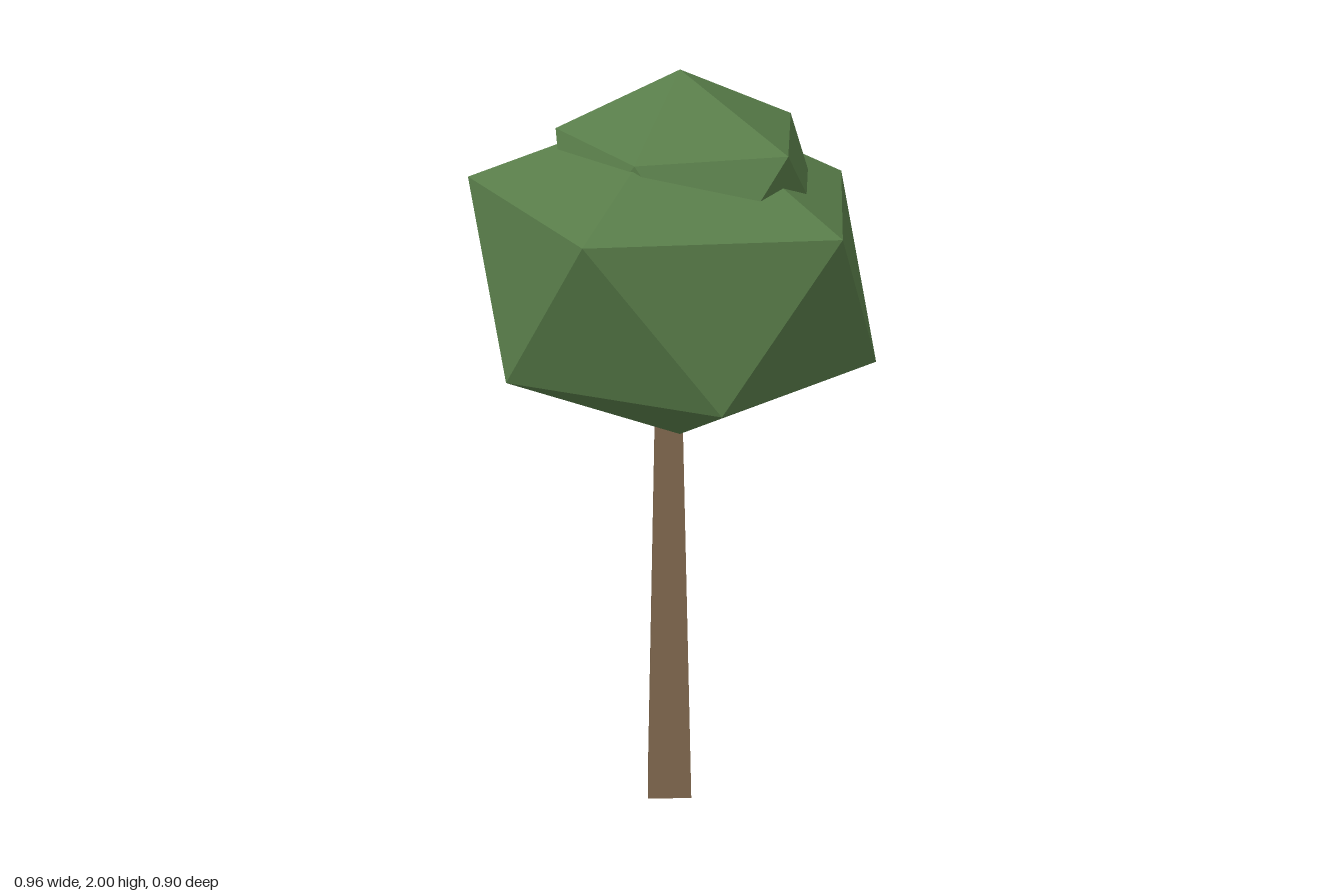
import * as THREE from 'three';

// Faceted twenty-sided blob: top point, two staggered rings of five, bottom point
function blob(name, top, upper, lower, bottom, material) {
  const p = [];
  for (let i = 0; i < 5; i++) {
    const j = (i + 1) % 5;
    p.push(...top, ...upper[j], ...upper[i]);
    p.push(...upper[i], ...upper[j], ...lower[i]);
    p.push(...lower[i], ...upper[j], ...lower[j]);
    p.push(...bottom, ...lower[i], ...lower[j]);
  }
  const geometry = new THREE.BufferGeometry();
  geometry.setAttribute('position', new THREE.Float32BufferAttribute(p, 3));
  geometry.computeVertexNormals();
  const mesh = new THREE.Mesh(geometry, material);
  mesh.name = name;
  return mesh;
}

export function createModel() {
  const leaf = new THREE.MeshStandardMaterial({ color: 0x587c49 });
  leaf.name = 'leaf green';
  const bark = new THREE.MeshStandardMaterial({ color: 0x80684e });
  bark.name = 'bark brown';
  leaf.flatShading = bark.flatShading = true;

  const tree = new THREE.Group();
  tree.name = 'tree';

  // Tapered square trunk, corners on the axes, slightly off centre
  const trunk = new THREE.Mesh(new THREE.CylinderGeometry(0.048, 0.082, 1.12, 4), bark);
  trunk.name = 'trunk';
  trunk.position.set(-0.09, 0.56, -0.063);
  tree.add(trunk);

  // Large main crown
  tree.add(blob('mainCrown', [-0.02, 1.93, -0.03],
    [[-0.445, 1.71, -0.325], [0.125, 1.695, -0.45], [0.48, 1.705, -0.03], [0.145, 1.725, 0.45], [-0.445, 1.717, 0.26]],
    [[-0.16, 1.32, -0.44], [0.375, 1.305, -0.3], [0.35, 1.315, 0.22], [-0.17, 1.305, 0.405], [-0.48, 1.315, -0.03]],
    [-0.02, 1.08, -0.03], leaf));

  // Small cap of leaves sunk into the top
  tree.add(blob('topCrown', [-0.02, 2, -0.03],
    [[-0.293, 1.862, -0.215], [0.08, 1.86, -0.308], [0.315, 1.862, -0.03], [0.068, 1.84, 0.21], [-0.27, 1.845, 0.133]],
    [[-0.11, 1.6, -0.32], [0.28, 1.6, -0.23], [0.26, 1.6, 0.165], [-0.115, 1.6, 0.25], [-0.355, 1.6, -0.03]],
    [-0.02, 1.46, -0.03], leaf));

  return tree;
}
